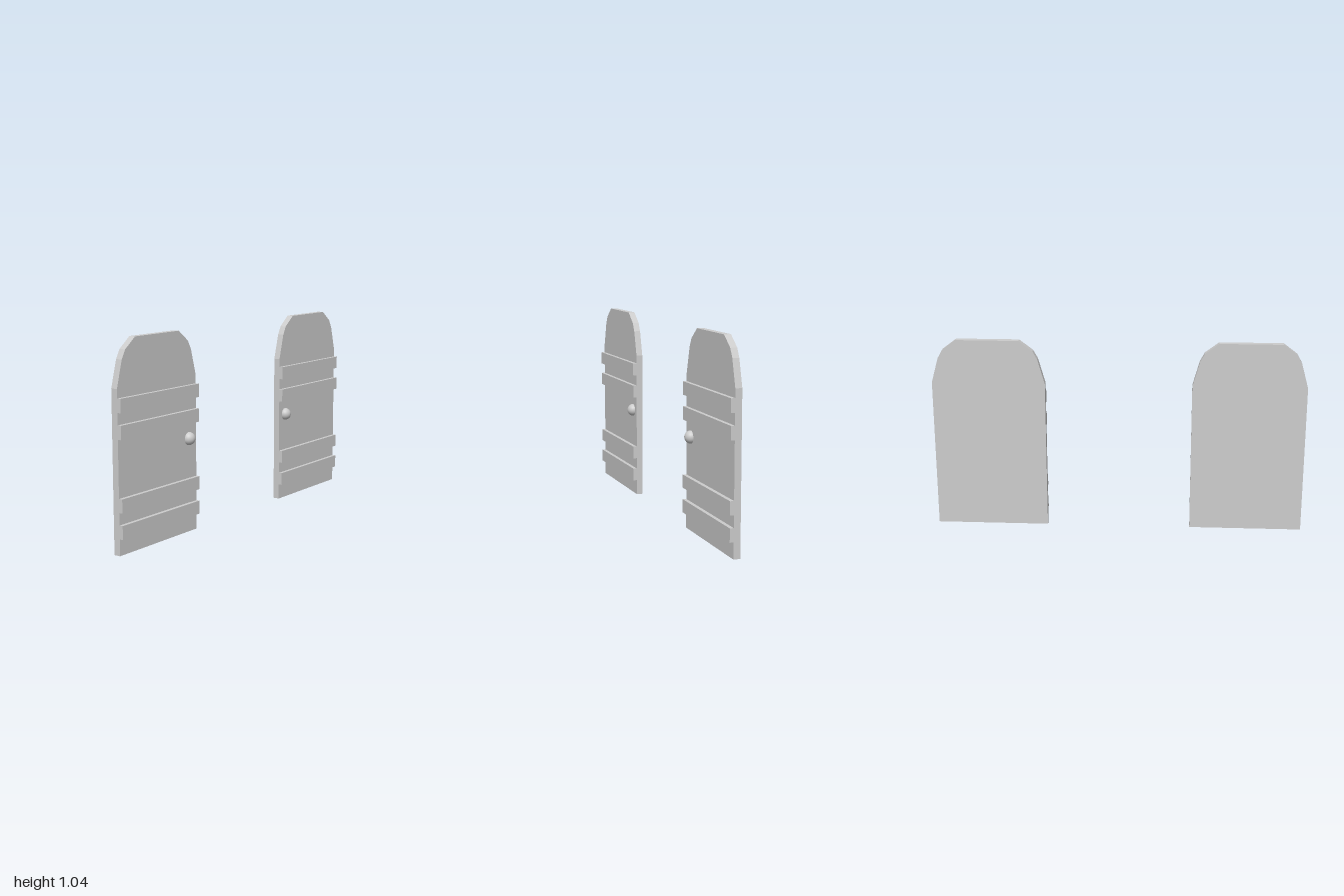
import * as THREE from 'three';

const HALF = 0.304, THICK = 0.035;

export function createModel() {
  const model = new THREE.Group();
  model.name = 'doorPair';
  const flat = new THREE.MeshStandardMaterial({ color: 0xcccccc, flatShading: true });
  const smooth = new THREE.MeshStandardMaterial({ color: 0xcccccc });

  const add = (parent, name, geometry, material, x, y, z) => {
    const mesh = new THREE.Mesh(geometry, material);
    mesh.name = name;
    mesh.position.set(x, y, z);
    parent.add(mesh);
  };

  // Panel outline: straight sides with a faceted, arched top
  const side = [[HALF, 0], [HALF, 0.81], [0.266, 0.945], [0.241, 0.99], [0.168, 1.045]];
  const mirrored = side.map(([x, y]) => [-x, y]).reverse();
  const outline = new THREE.Shape([...side, ...mirrored].map(([x, y]) => new THREE.Vector2(x, y)));
  const panelGeo = new THREE.ExtrudeGeometry(outline, { depth: THICK, bevelEnabled: false });

  // Each door is built facing +z, then turned to face +x
  const makeDoor = (name, knobX) => {
    const door = new THREE.Group();
    door.name = name;
    add(door, 'panel', panelGeo, flat, 0, 0, -THICK);

    // Horizontal battens across the face
    for (const y of [0.118, 0.248, 0.603, 0.731]) {
      add(door, 'batten', new THREE.BoxGeometry(HALF * 2, 0.069, 0.02), flat, 0, y, 0.01);
    }

    // Half-round knob near the inner edge
    add(door, 'knob', new THREE.SphereGeometry(0.034, 24, 16, 0, Math.PI), smooth, knobX, 0.488, 0);

    door.rotation.y = Math.PI / 2;
    return door;
  };

  for (const s of [1, -1]) {
    const door = makeDoor(s > 0 ? 'frontDoor' : 'backDoor', s * 0.243);
    door.position.z = s * (1 - HALF);
    model.add(door);
  }
  return model;
}
